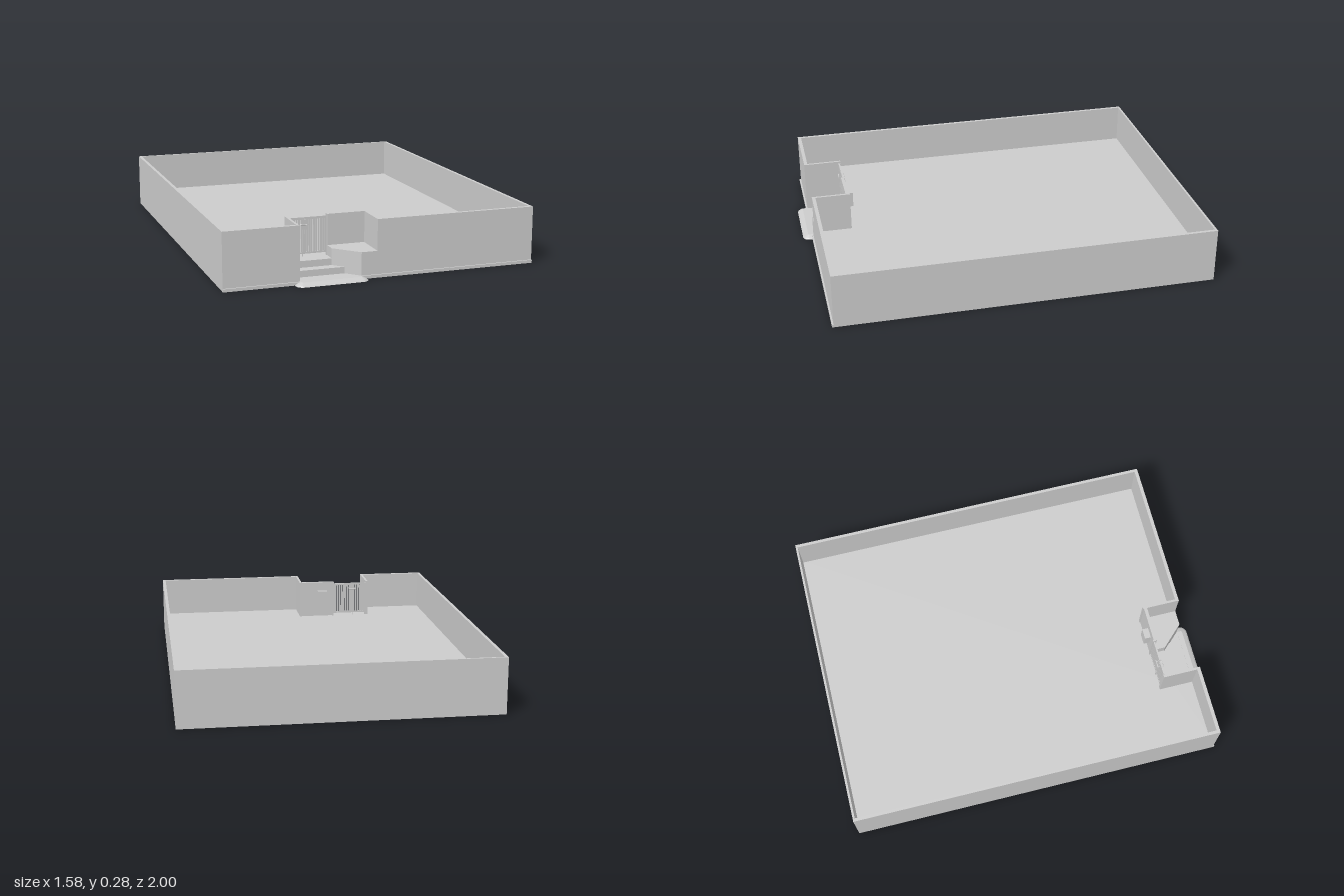
import * as THREE from 'three';
import { ConvexGeometry } from 'three/addons/geometries/ConvexGeometry.js';

const mat = new THREE.MeshStandardMaterial({ color: 0xcccccc, flatShading: true });

export function createModel() {
  const root = new THREE.Group();

  const add = (name, geometry, parent = root) => {
    const mesh = new THREE.Mesh(geometry, mat);
    mesh.name = name;
    parent.add(mesh);
    return mesh;
  };
  // Box given by its extents
  const block = (name, x0, x1, y0, y1, z0, z1, parent) => {
    const mesh = add(name, new THREE.BoxGeometry(x1 - x0, y1 - y0, z1 - z0), parent);
    mesh.position.set((x0 + x1) / 2, (y0 + y1) / 2, (z0 + z1) / 2);
    return mesh;
  };
  // Vertical slab from a plan outline of [x, z] points
  const slab = (name, plan, y0, y1) => {
    const shape = new THREE.Shape(plan.map(([x, z]) => new THREE.Vector2(x, -z)));
    const geometry = new THREE.ExtrudeGeometry(shape, { depth: y1 - y0, bevelEnabled: false });
    geometry.rotateX(-Math.PI / 2);
    geometry.translate(0, y0, 0);
    return add(name, geometry);
  };

  const W = 0.79, H = 0.285, T = 0.016;
  const back = -1, front = 0.945, floorY = 0.08, paveY = 0.015;
  const left = -0.418, gateEnd = -0.22, right = -0.03;
  const gateZ = 0.745;

  // Raised yard floor, notched around the entrance
  slab('floor', [
    [-W, back], [W, back], [W, front], [right, front], [right, gateZ + T],
    [gateEnd, gateZ + T], [gateEnd, 0.83], [left, 0.83], [left, front], [-W, front],
  ], 0, floorY);

  // Perimeter walls
  const walls = new THREE.Group();
  walls.name = 'walls';
  root.add(walls);
  block('backWall', -W, W, 0, H, back, back + 0.011, walls);
  block('rightSideWall', -W, -W + T, 0, H, back, front, walls);
  block('leftSideWall', W - T, W, 0, H, back, front, walls);
  block('frontWallShort', -W, left, 0, H, front - 0.018, front, walls);
  block('frontWallLong', right, W, 0, H, front - 0.018, front, walls);
  // Walls turning into the entrance recess
  block('recessWallRight', left - 0.012, left, 0, H, gateZ, front, walls);
  block('recessWallLeft', right, right + 0.012, 0, H, gateZ, front, walls);
  block('recessBackWall', gateEnd, right + 0.012, 0, H, gateZ + 0.005, gateZ + 0.022, walls);
  block('meterBox', -0.18, -0.125, 0.155, 0.235, 0.718, gateZ + 0.006);

  // Corner planter with a diagonal face
  slab('planter', [
    [gateEnd, 0.76], [right, 0.76], [right, front], [-0.11, front], [gateEnd, 0.83],
  ], 0, 0.13);

  // Entrance paving and step, both cut off by the planter diagonal
  slab('entrancePaving', [
    [left, 0.83], [gateEnd, 0.83], [-0.11, front], [left, front],
  ], 0, paveY);
  slab('step', [
    [left, 0.82], [gateEnd, 0.82], [gateEnd, 0.83], [-0.17, 0.88], [left, 0.88],
  ], 0, 0.047);

  // Low kerb along the street
  block('kerb', -W, W, 0, paveY, front - 0.005, 0.953);

  // Sloped ramp with rounded corners
  const points = [];
  for (const [inset, y] of [[0, 0], [0.008, 0.007], [0.028, 0.017]]) {
    const radius = 0.035 - inset;
    for (const side of [-1, 1]) {
      const cx = -0.265 + side * 0.145;
      points.push(new THREE.Vector3(cx + side * radius, y, front));
      for (let i = 0; i <= 6; i++) {
        const a = (i / 6) * Math.PI / 2;
        points.push(new THREE.Vector3(
          cx + side * radius * Math.cos(a), y, 0.965 + radius * Math.sin(a)));
      }
    }
  }
  add('ramp', new ConvexGeometry(points));

  // Double gate with a narrow and a wide leaf
  const gate = new THREE.Group();
  gate.name = 'gate';
  gate.position.z = gateZ + 0.008;
  root.add(gate);
  const d = 0.004;
  block('gatePostRight', left, left + 0.007, floorY, 0.277, -0.007, 0.007, gate);
  block('gatePostLeft', gateEnd - 0.003, gateEnd + 0.006, floorY, H, -0.008, 0.008, gate);
  const leaf = (x0, x1, bars) => {
    block('gateTopRail', x0, x1, 0.264, 0.275, -d, d, gate);
    block('gateBottomRail', x0, x1, 0.094, 0.103, -d, d, gate);
    for (const x of [x0, x1 - 0.007]) block('gateStile', x, x + 0.007, 0.094, 0.275, -d, d, gate);
    const inner0 = x0 + 0.007, pitch = (x1 - x0 - 0.014) / bars;
    for (let i = 0; i < bars; i++) {
      const x = inner0 + (i + 0.5) * pitch;
      block('gateBar', x - 0.0042, x + 0.0042, 0.1, 0.268, -0.003, 0.003, gate);
    }
  };
  leaf(left + 0.008, -0.334, 5);
  leaf(-0.332, gateEnd - 0.004, 8);
  block('lockPlate', -0.346, -0.32, 0.215, 0.262, -0.005, 0.005, gate);
  block('dropBolt', -0.342, -0.338, floorY, 0.13, -0.008, -0.003, gate);

  // Lever handles on both faces
  for (const side of [-1, 1]) {
    for (const x of [-0.35, -0.322]) {
      const stem = add('handleStem', new THREE.CylinderGeometry(0.002, 0.002, 0.012, 8), gate);
      stem.rotation.x = Math.PI / 2;
      stem.position.set(x, 0.24, side * 0.008);
    }
    const lever = add('handleLever', new THREE.CylinderGeometry(0.0025, 0.0025, 0.045, 8), gate);
    lever.rotation.z = Math.PI / 2;
    lever.position.set(-0.336, 0.24, side * 0.014);
  }

  return root;
}
